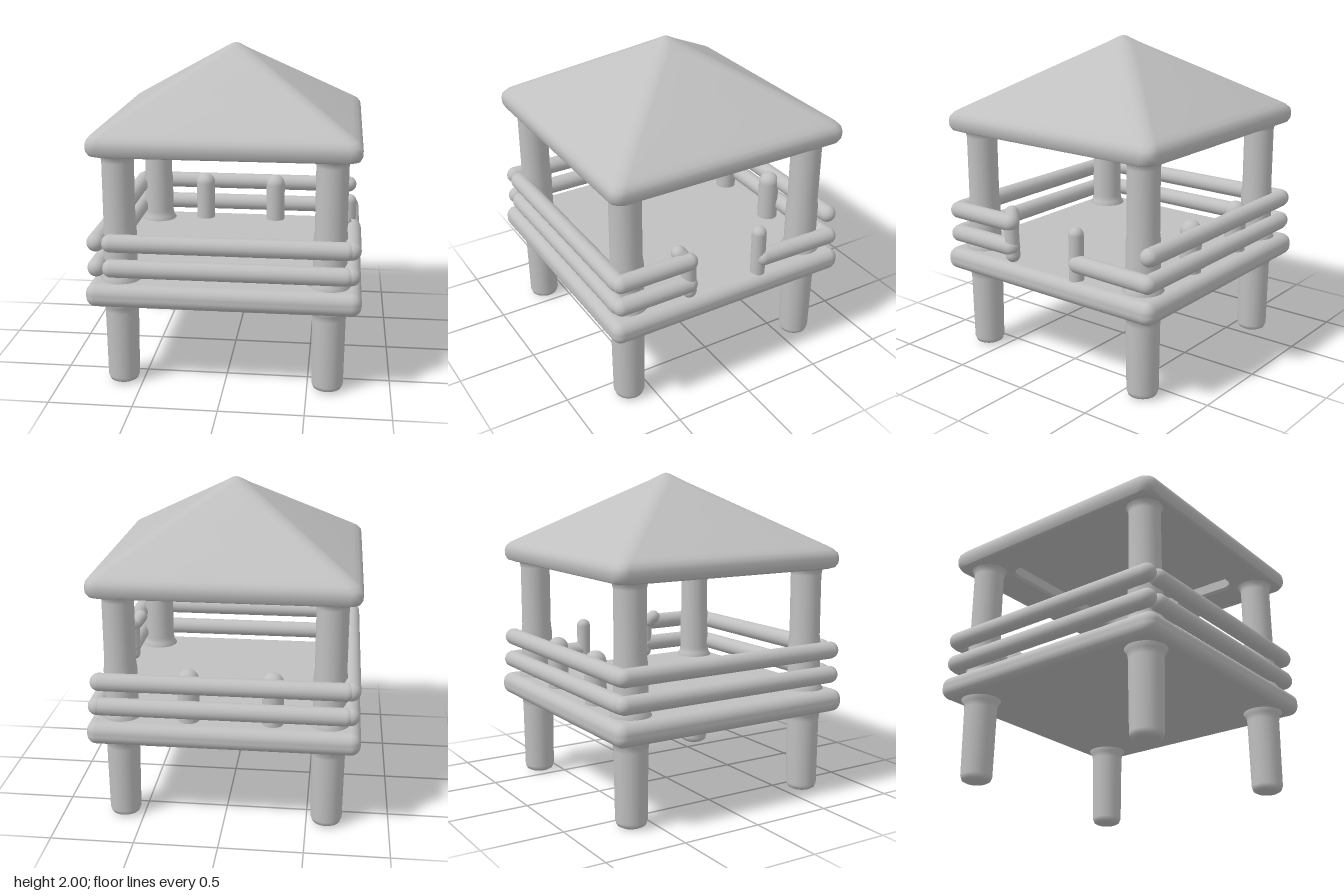
import * as THREE from 'three';
import { toCreasedNormals } from 'three/addons/utils/BufferGeometryUtils.js';
import { RoundedBoxGeometry } from 'three/addons/geometries/RoundedBoxGeometry.js';

const grey = new THREE.MeshStandardMaterial({ color: 0xc0c0c0 });
grey.name = 'plain grey';

// Skin a stack of rounded squares, each given as [half width, height]
function loftSquares(profile, corner, steps = 6) {
  const pos = [], index = [], n = 4 * (steps + 1);
  for (const [half, y] of profile) {
    const r = Math.min(corner, half), c = half - r;
    for (let q = 0; q < 4; q++) {
      const mid = (q + 0.5) * Math.PI / 2;
      const cx = Math.sign(Math.cos(mid)) * c, cz = Math.sign(Math.sin(mid)) * c;
      for (let s = 0; s <= steps; s++) {
        const a = (q + s / steps) * Math.PI / 2;
        pos.push(cx + r * Math.cos(a), y, cz + r * Math.sin(a));
      }
    }
  }
  for (let i = 0; i < profile.length - 1; i++) {
    for (let j = 0; j < n; j++) {
      const k = (j + 1) % n, a = i * n, b = a + n;
      index.push(a + j, b + j, b + k, a + j, b + k, a + k);
    }
  }
  const geo = new THREE.BufferGeometry();
  geo.setAttribute('position', new THREE.Float32BufferAttribute(pos, 3));
  geo.setIndex(index);
  return toCreasedNormals(geo, 0.7);
}

export function createModel() {
  const model = new THREE.Group();
  model.name = 'openHut';

  const add = (name, geo, x = 0, y = 0, z = 0) => {
    const mesh = new THREE.Mesh(geo, grey);
    mesh.name = name;
    mesh.position.set(x, y, z);
    model.add(mesh);
    return mesh;
  };

  // Round-ended log between two points
  const log = (name, from, to, r) => {
    const a = new THREE.Vector3(...from), b = new THREE.Vector3(...to);
    const dir = b.clone().sub(a), len = dir.length();
    const mesh = add(name, new THREE.CapsuleGeometry(r, Math.max(len - 2 * r, 0.01), 8, 20));
    mesh.position.copy(a).add(b).multiplyScalar(0.5);
    mesh.quaternion.setFromUnitVectors(new THREE.Vector3(0, 1, 0), dir.normalize());
  };

  // Pyramid roof with a rounded eave and a shallow recess below
  add('roof', loftSquares([
    [0, 1.5], [0.52, 1.5], [0.525, 1.44], [0.54, 1.425], [0.75, 1.42], [0.775, 1.43],
    [0.788, 1.455], [0.79, 1.49], [0.785, 1.515], [0.765, 1.54], [0.73, 1.563],
    [0.4, 1.765], [0.1, 1.947], [0.05, 1.977], [0.025, 1.99], [0, 1.997]
  ], 0.07));

  // Floor platform
  add('deck', new RoundedBoxGeometry(1.62, 0.14, 1.62, 5, 0.06), 0, 0.59, 0);

  // Corner posts, flared where they meet the deck and the roof
  const postProfile = [
    [0, 0], [0.065, 0.003], [0.085, 0.014], [0.095, 0.04], [0.1, 0.46], [0.105, 0.495],
    [0.125, 0.525], [0.125, 0.655], [0.107, 0.685], [0.1, 0.72], [0.1, 0.95],
    [0.094, 1.0], [0.094, 1.38], [0.1, 1.41], [0.12, 1.43]
  ].map(([r, y]) => new THREE.Vector2(r, y));
  const postGeo = new THREE.LatheGeometry(postProfile, 28);
  for (const x of [-0.622, 0.622])
    for (const z of [-0.625, 0.635]) add('post', postGeo, x, 0, z);

  // Two courses of railing on the front, back and closed side
  const r = 0.054, e = 0.745;
  for (const y of [0.755, 0.91]) {
    log('frontRail', [-0.71, y, e], [0.77, y, e], r);
    log('backRail', [-0.77, y, -e], [0.78, y, -e], r);
    log('sideRail', [-e, y, -0.79], [-e, y, 0.79], r);
    log('entranceRail', [e, y, 0.79], [e, y, 0.235], r);
  }
  // Single low rail on the other half of the entrance side
  log('lowEntranceRail', [e, 0.755, -0.8], [e, 0.765, -0.19], r);

  // Stakes beside the entrance
  log('entranceStake', [0.73, 0.6, -0.22], [0.73, 0.98, -0.22], 0.045);
  log('entranceStake', [0.74, 0.66, 0.28], [0.74, 0.93, 0.29], 0.045);
  log('stakeTip', [0.74, 0.89, 0.28], [0.67, 0.985, 0.35], 0.045);

  // Stakes behind the back rails
  for (const x of [-0.29, 0.21])
    log('backStake', [x, 0.58, -0.67], [x, 0.98, -0.67], 0.065);

  return model;
}
